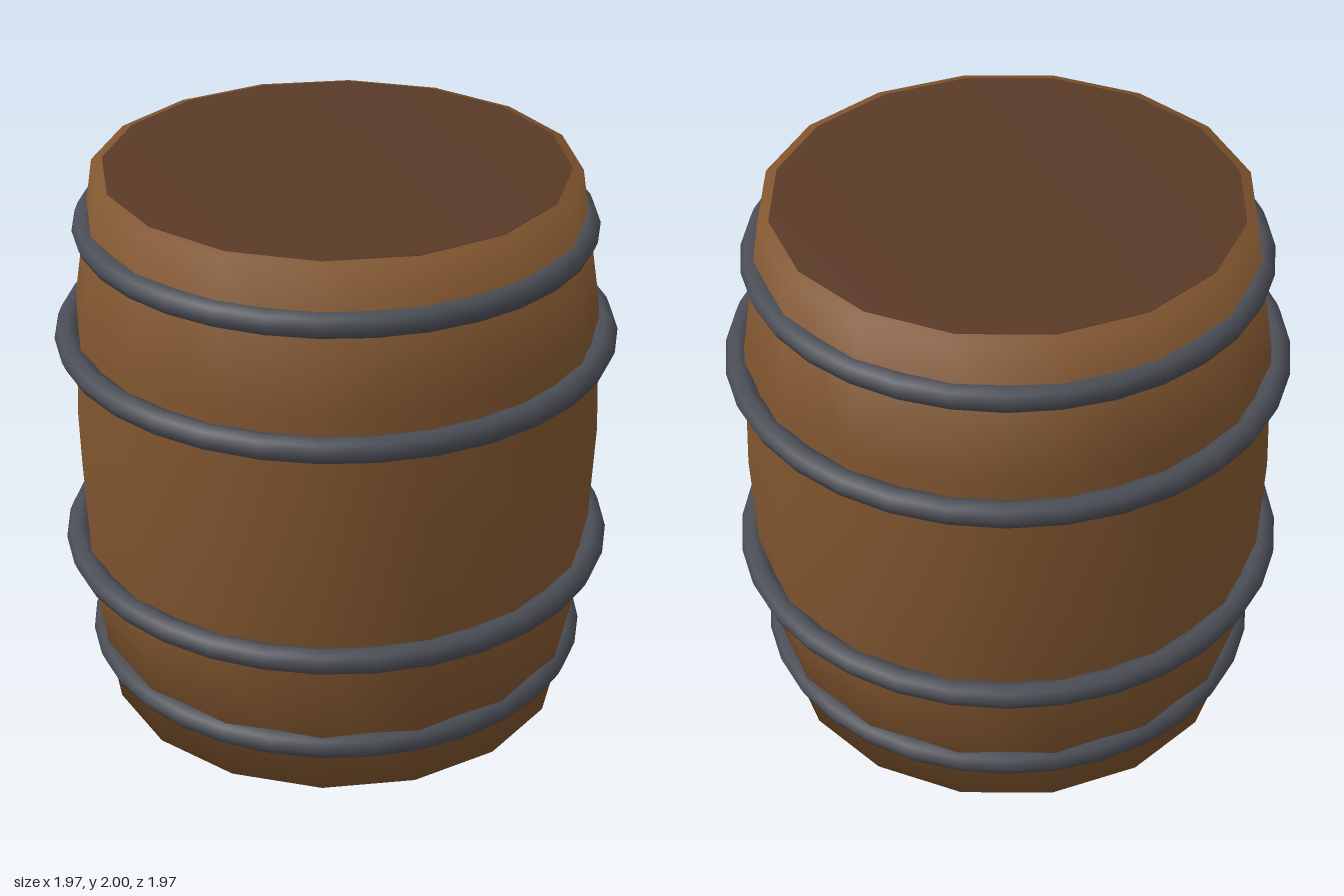
import * as THREE from 'three';

const SIDES = 16;

// Revolves [radius, height] pairs, listed bottom to top, around the y axis
function revolve(name, profile, color) {
  const points = profile.map(([r, y]) => new THREE.Vector2(r, y));
  const mesh = new THREE.Mesh(
    new THREE.LatheGeometry(points, SIDES),
    new THREE.MeshStandardMaterial({ color })
  );
  mesh.name = name;
  return mesh;
}

export function createModel() {
  const barrel = new THREE.Group();
  barrel.name = 'barrel';

  // Bulging wooden body, closed at both ends
  barrel.add(revolve('body', [
    [0, 0], [0.838, 0], [0.915, 0.5], [0.935, 1], [0.915, 1.5], [0.838, 1.99], [0, 1.99],
  ], 0x80552f));

  // Darker lid standing just proud of the rim
  barrel.add(revolve('lid', [[0.8, 1.95], [0.8, 2], [0, 2]], 0x5a3a28));

  // Iron hoops: narrow ones near the ends, wide ones around the belly
  const iron = new THREE.MeshStandardMaterial({ color: 0x4a4d55 });
  const hoops = new THREE.Group();
  hoops.name = 'hoops';
  for (const [y, radius] of [[0.2, 0.86], [0.6, 0.94], [1.4, 0.94], [1.8, 0.86]]) {
    const hoop = new THREE.Mesh(new THREE.TorusGeometry(radius, 0.045, 8, 32), iron);
    hoop.name = 'hoop';
    hoop.rotation.x = Math.PI / 2;
    hoop.position.y = y;
    hoops.add(hoop);
  }
  barrel.add(hoops);

  return barrel;
}
